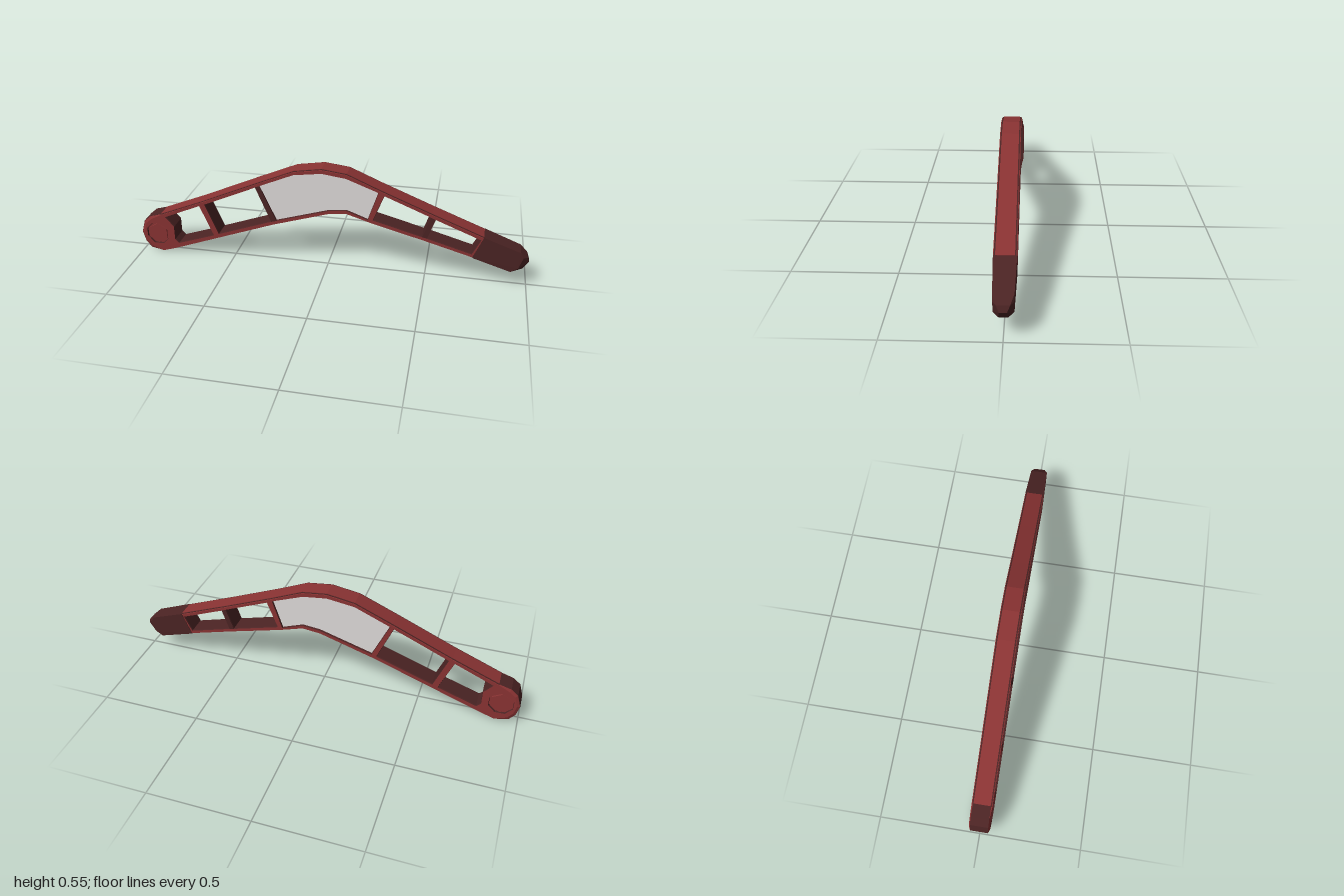
import * as THREE from 'three';
import { ConvexGeometry } from 'three/addons/geometries/ConvexGeometry.js';

const mat = (name, color) => {
  const m = new THREE.MeshStandardMaterial({ color });
  m.name = name;
  return m;
};

export function createModel() {
  const red = mat('red', 0x8a3333);
  const dark = mat('dark red', 0x4c2424);
  const grey = mat('grey', 0xe0dddb);
  const group = new THREE.Group();
  const HALF = 0.05; // half depth of the frame
  const HUB = [-0.91, 0.105]; // pivot centre

  const add = (name, geometry, material) => {
    const mesh = new THREE.Mesh(geometry, material);
    mesh.name = name;
    group.add(mesh);
  };
  // Outlines are all turned anticlockwise so that hole walls face the right way
  const pts = (list) => {
    const v = list.map(([x, y]) => new THREE.Vector2(x, y));
    return THREE.ShapeUtils.isClockWise(v) ? v.reverse() : v;
  };

  // Slab of an outline between two depths, optionally with holes and a chamfer
  const slab = (outline, z0, z1, holes = [], size = 0, thickness = 0) => {
    const shape = new THREE.Shape(pts(outline));
    shape.holes = holes.map((h) => new THREE.Path(pts(h)));
    const g = new THREE.ExtrudeGeometry(shape, {
      depth: z1 - z0 - 2 * thickness, bevelEnabled: size > 0, bevelSegments: 1,
      bevelSize: size, bevelThickness: thickness, bevelOffset: -size, curveSegments: 1,
    });
    g.translate(0, 0, z0 + thickness);
    return g;
  };
  const polygon = (n, r, turn) => Array.from({ length: n }, (_, i) => {
    const a = turn + (i / n) * Math.PI * 2;
    return [HUB[0] + r * Math.cos(a), HUB[1] + r * Math.sin(a)];
  });
  // Thin band following a line, between two heights above it
  const band = (line, low, high, half) => slab([
    ...line.map(([x, y]) => [x, y + high]),
    ...line.map(([x, y]) => [x, y + low]).reverse()], -half, half);

  // Upper edge of the boomerang, left to right, and the rounded pivot end
  const top = [[-0.885, 0.217], [-0.655, 0.312], [-0.355, 0.445], [-0.165, 0.527],
    [-0.025, 0.55], [0.1, 0.535], [0.265, 0.465], [0.52, 0.363], [0.775, 0.264]];
  const pivotEnd = [[-0.955, 0.012], [-0.985, 0.05], [-0.999, 0.105], [-0.98, 0.17], [-0.945, 0.2]];
  const outline = [...top,
    [0.728, 0.149], [0.49, 0.215], [0.22, 0.286], [0.1, 0.323], [0.01, 0.313],
    [-0.275, 0.223], [-0.815, 0.024], [-0.89, 0], ...pivotEnd];

  // Openings between the struts
  const panelOpening = [[-0.341, 0.432], [-0.165, 0.508], [-0.025, 0.528], [0.095, 0.513],
    [0.255, 0.453], [0.207, 0.304], [0.1, 0.343], [0.01, 0.333], [-0.258, 0.25]];
  const openings = [
    [[-0.858, 0.205], [-0.667, 0.288], [-0.6, 0.127], [-0.795, 0.06], [-0.815, 0.08], [-0.815, 0.155]],
    [[-0.635, 0.3], [-0.362, 0.422], [-0.285, 0.242], [-0.57, 0.139]],
    panelOpening,
    [[0.286, 0.438], [0.515, 0.346], [0.478, 0.238], [0.234, 0.304]],
    [[0.538, 0.336], [0.76, 0.249], [0.722, 0.17], [0.502, 0.232]],
  ];
  const pivotHole = polygon(8, 0.062, Math.PI / 8);

  // Openwork frame, with the rim of the pivot end drawn in on both faces
  const frame = slab(outline, -HALF, HALF, [...openings, pivotHole], 0.002, 0.006);
  const p = frame.attributes.position;
  for (let i = 0; i < p.count; i++) {
    const dx = p.getX(i) - HUB[0], dy = p.getY(i) - HUB[1];
    if (Math.abs(p.getZ(i)) > 0.049 && dx < -0.015 && Math.hypot(dx, dy) > 0.078) {
      p.setXY(i, HUB[0] + dx * 0.87, HUB[1] + dy * 0.87);
    }
  }
  frame.computeVertexNormals();
  // Red outside, dark walls in the openings (18 corners per edge of the outline)
  const wallStart = frame.groups[1].start + outline.length * 18;
  frame.clearGroups();
  frame.addGroup(0, wallStart, 0);
  frame.addGroup(wallStart, p.count - wallStart, 1);
  add('frame', frame, [red, dark]);

  // Dark rim on top, the raised red strip over it, and the dark pivot end
  add('topRim', band(top, -0.002, 0.001, 0.047), dark);
  add('topStrip', band(top, -0.002, 0.003, 0.041), red);
  const endLine = [...pivotEnd, top[0]];
  const scaled = (k) => endLine.map(([x, y]) => [HUB[0] + (x - HUB[0]) * k, HUB[1] + (y - HUB[1]) * k]);
  add('pivotEndCap', slab([...scaled(1.012), ...scaled(0.97).reverse()], -0.044, 0.044), dark);

  // Filled panel at the elbow, set in a little
  add('elbowPanel', slab(panelOpening, -0.04, 0.04), grey);

  // Dark faces on two struts
  const elbowStrut = [[-0.362, 0.426], [-0.341, 0.434], [-0.258, 0.248], [-0.285, 0.24]];
  const outerStrut = [[0.515, 0.348], [0.538, 0.338], [0.502, 0.231], [0.478, 0.237]];
  add('elbowStrutFace', slab(elbowStrut, HALF - 0.001, HALF + 0.001), dark);
  for (const s of [-1, 1]) {
    add('outerStrutFace', slab(outerStrut, s * HALF - 0.001, s * HALF + 0.001), dark);
  }

  // Pivot: recessed floor and a hexagonal boss
  add('pivotRecess', slab(polygon(8, 0.066, Math.PI / 8), -0.04, 0.04), red);
  add('pivotBoss', slab(polygon(6, 0.056, Math.PI / 6), -0.048, 0.048), red);

  // Dark faceted tip, narrowing in depth towards the end
  const tip = [];
  for (const [x, y, z] of [
    [0.775, 0.265, 0.05], [0.728, 0.148, 0.05], [0.955, 0.198, 0.044], [0.915, 0.087, 0.043],
    [0.97, 0.17, 0.043], [0.95, 0.11, 0.043],
    [0.99, 0.168, 0.028], [0.972, 0.1, 0.02], [1, 0.14, 0.016],
  ]) {
    tip.push(new THREE.Vector3(x, y, z), new THREE.Vector3(x, y, -z));
  }
  add('tipCap', new ConvexGeometry(tip), dark);

  return group;
}
